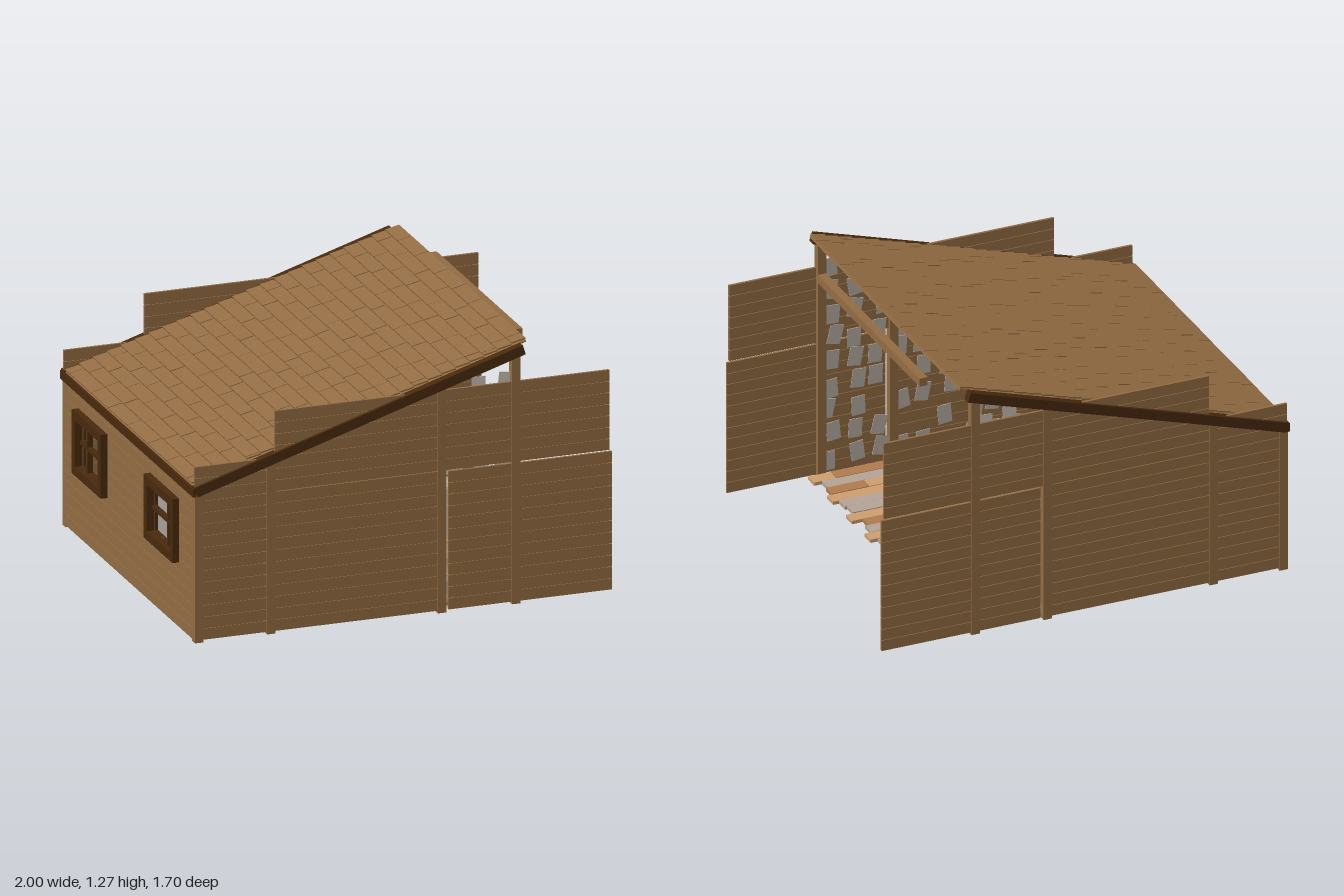
import * as THREE from 'three';
import { mergeGeometries } from 'three/addons/utils/BufferGeometryUtils.js';

const mat = (name, color, side = THREE.FrontSide) => {
  const m = new THREE.MeshStandardMaterial({ color, side });
  m.name = name;
  return m;
};

let seed = 7;
const rand = () => (seed = (seed * 16807) % 2147483647) / 2147483647;
const jitter = (a) => (rand() - 0.5) * 2 * a;

// Box given by its minimum and maximum corners
const span = (x0, x1, y0, y1, z0, z1) =>
  new THREE.BoxGeometry(x1 - x0, y1 - y0, z1 - z0).translate((x0 + x1) / 2, (y0 + y1) / 2, (z0 + z1) / 2);

const rectPath = (C, x0, x1, y0, y1) => {
  const p = new C();
  p.moveTo(x0, y0).lineTo(x1, y0).lineTo(x1, y1).lineTo(x0, y1).closePath();
  return p;
};

// Plate with rectangular holes in the zy plane, centred on x = 0
function plate(outer, holes, depth) {
  const s = rectPath(THREE.Shape, ...outer);
  holes.forEach((h) => s.holes.push(rectPath(THREE.Path, ...h)));
  return new THREE.ExtrudeGeometry(s, { depth, bevelEnabled: false })
    .translate(0, 0, -depth / 2).rotateY(-Math.PI / 2);
}

export function createModel() {
  const model = new THREE.Group();
  const wood = mat('brown wood', 0x956e44);
  const dark = mat('dark wood', 0x4a2a0d);
  const paperMat = mat('paper', 0xc4bab0);
  const stone = mat('grey stone', 0xa8a29c, THREE.DoubleSide);
  const doorMat = mat('pale door', 0xbcb2a8);
  const floorMats = [mat('tan floor', 0xd0a072), mat('brown floor', 0xb27d50), mat('pale grey floor', 0xb8a698)];

  const add = (name, m, geos, parent = model) => {
    const list = [].concat(geos).map((g) => (g.index ? g.toNonIndexed() : g));
    const mesh = new THREE.Mesh(mergeGeometries(list), m);
    mesh.name = name;
    parent.add(mesh);
  };

  const SLOPE = 0.302, COURSE = 0.054, GAP = 0.003;
  const roofY = (x) => 0.755 + (x + 0.97) * Math.tan(SLOPE);

  // Side walls: four plank panels a side, [x0, x1, y0, y1], over a thin core
  const panels = [[-0.967, -0.622, 0.05, 0.865], [-0.588, 0.988, 0.705, 1.083],
    [-0.612, 0.215, 0.05, 0.705], [0.23, 1, 0.05, 0.7]];
  for (const s of [1, -1]) {
    const planks = [], posts = [];
    for (const [x0, x1, y0, y1] of panels) {
      const n = Math.round((y1 - y0) / COURSE), h = (y1 - y0) / n;
      for (let i = 0; i < n; i++) {
        planks.push(span(x0, x1, y0 + i * h, y0 + (i + 1) * h - GAP, s * 0.83 - 0.006, s * 0.83 + 0.006));
      }
      planks.push(span(x0 + 0.02, x1 - 0.02, y0 + 0.01, y1 - 0.01, s * 0.83 - 0.002, s * 0.83 + 0.002));
    }
    for (const x of [-0.948, -0.608, 0.197, 0.547]) {
      posts.push(span(x - 0.02, x + 0.02, 0.04, roofY(x), s * 0.823 - 0.02, s * 0.823 + 0.02));
    }
    add('sideWallPlanks', wood, planks);
    add('wallPosts', wood, posts);
    // Sloping edge board of the roof
    const rake = new THREE.BoxGeometry(1.62, 0.046, 0.04).rotateZ(SLOPE).translate(-0.192, 0.988, s * 0.831);
    add('roofEdgeBoard', dark, rake);
  }

  // Back wall with two window openings
  const windows = [[0.31, 0.602, 0.393, 0.612], [-0.602, -0.31, 0.393, 0.612]];
  const backPlanks = [];
  for (let i = 0; i < 13; i++) {
    const y0 = 0.05 + i * COURSE, y1 = y0 + COURSE - GAP;
    const pierced = y1 > 0.37 && y0 < 0.63;
    const runs = pierced ? [[-0.81, -0.61], [-0.3, 0.3], [0.61, 0.81]] : [[-0.81, 0.81]];
    for (const [z0, z1] of runs) backPlanks.push(span(-0.968, -0.953, y0, y1, z0, z1));
  }
  backPlanks.push(plate([-0.8, 0.8, 0.06, 0.76], windows, 0.004).translate(-0.9605, 0, 0));
  add('backWallPlanks', wood, backPlanks);
  add('eaveBoard', dark, span(-0.978, -0.964, 0.725, 0.765, -0.845, 0.845));

  // Window frames with an off-centre upright and a crossbar
  windows.forEach((w, i) => {
    const outer = [w[0] - 0.038, w[1] + 0.038, w[2] - 0.04, w[3] + 0.04];
    const zBar = i ? -0.51 : 0.515;
    add('windowFrame', dark, [
      plate(outer, [w], 0.055).translate(-0.9725, 0, 0),
      span(-0.975, -0.95, w[2], w[3], zBar - 0.008, zBar + 0.008),
      span(-0.975, -0.95, 0.497, 0.513, w[0], w[1]),
    ]);
  });

  // Roof: boards under staggered, lapped shingles
  const roof = new THREE.Group();
  roof.name = 'roof';
  roof.position.set(-0.967, 0.765, 0);
  roof.rotation.z = SLOPE;
  model.add(roof);
  const ROWS = 24, pitch = 1.65 / ROWS, boards = [], shingles = [];
  for (let r = 0; r < ROWS; r++) {
    const x = r * pitch;
    boards.push(span(x, x + pitch - 0.003, -0.006, 0.002, -0.805, 0.805));
    let z = -0.805;
    let len = 0.06 + 0.2 * ((r * 0.37) % 1);
    while (z < 0.8) {
      const end = Math.min(z + len, 0.805);
      shingles.push(new THREE.BoxGeometry(pitch - 0.002, 0.007, Math.max(end - z - 0.005, 0.004))
        .rotateZ(-0.08).translate(x + pitch / 2, 0.01 + rand() * 0.002, (z + end) / 2));
      z = end;
      len = 0.2 + rand() * 0.08;
    }
  }
  add('roofBoards', wood, boards, roof);
  add('shingles', wood, shingles, roof);

  // Loose crossbeam beyond the open side
  add('crossbeam', wood, span(0.652, 0.692, 1.17, 1.21, -0.56, 0.53));

  // Floorboards, every third row reaching out past the roof
  const floor = [[], [], []];
  for (let r = 0; r < 24; r++) {
    const long = r % 3 === 2;
    const z = -0.82 + r * 0.0672, last = long ? 0.622 : 0.57 + rand() * 0.03;
    let x = -0.955, len = 0.1 + rand() * 0.3;
    while (x < last) {
      const end = last - x - len < 0.08 ? last : x + len;
      const lift = rand() * 0.004;
      const kind = long && end === last ? 0 : Math.floor(rand() * 3);
      floor[kind].push(span(x, end - 0.002, 0.05 + lift, 0.066 + lift, Math.max(z, -0.805) + 0.001, Math.min(z + 0.0662, 0.805)));
      x = end;
      len = 0.25 + rand() * 0.15;
    }
  }
  floor.forEach((g, i) => add('floorboards', floorMats[i], g));

  // Glazed door in the open side, two by three panes over two panels
  const panes = [];
  for (let c = 0; c < 2; c++) {
    for (let r = 0; r < 3; r++) {
      const z = -0.089 + c * 0.086, y = 0.28 + r * 0.08;
      panes.push([z, z + 0.078, y, y + 0.071]);
    }
  }
  add('door', doorMat, [
    plate([-0.118, 0.104, 0, 0.535], panes, 0.014).translate(0.555, 0, 0),
    ...[-0.083, 0.015].map((z) => span(0.545, 0.567, 0.07, 0.21, z, z + 0.058)),
  ]);

  // Hooded figure by the back wall
  const figure = new THREE.Group();
  figure.name = 'hoodedFigure';
  figure.position.set(-0.72, 0, -0.01);
  model.add(figure);
  const draped = (pts, folds, depth) => {
    const g = new THREE.LatheGeometry(pts.map((p) => new THREE.Vector2(...p)), 64);
    const p = g.attributes.position;
    for (let i = 0; i < p.count; i++) {
      const k = 1 + folds * Math.cos(14 * Math.atan2(p.getZ(i), p.getX(i)));
      p.setXYZ(i, p.getX(i) * k * depth, p.getY(i), p.getZ(i) * k);
    }
    g.computeVertexNormals();
    return g;
  };
  const ball = (rx, ry, rz, x, y, z) => new THREE.SphereGeometry(1, 24, 16).scale(rx, ry, rz).translate(x, y, z);
  add('robe', stone, draped([[0.21, 0.066], [0.155, 0.09], [0.135, 0.14], [0.13, 0.3], [0.14, 0.46], [0.1, 0.6]], 0.05, 0.7), figure);
  add('cape', stone, draped([[0.145, 0.43], [0.16, 0.47], [0.145, 0.54], [0.115, 0.61], [0.06, 0.65]], 0.02, 0.75), figure);
  add('hood', stone, draped([[0.1, 0.585], [0.095, 0.64], [0.08, 0.7], [0.045, 0.755], [0, 0.785]], 0, 0.9), figure);
  add('hoodRim', stone, new THREE.TorusGeometry(0.055, 0.013, 10, 32).scale(1, 1.25, 1).rotateY(Math.PI / 2).translate(0.075, 0.665, 0), figure);
  add('face', stone, ball(0.03, 0.055, 0.042, 0.06, 0.66, 0), figure);
  for (const s of [1, -1]) {
    const arm = new THREE.CatmullRomCurve3([[0.02, 0.56, 0.11], [0.07, 0.45, 0.11], [0.12, 0.42, 0.06], [0.13, 0.38, -0.03]]
      .map(([x, y, z]) => new THREE.Vector3(x, y, z * s)));
    add('sleeve', stone, new THREE.TubeGeometry(arm, 20, 0.032, 12), figure);
    add('hand', stone, ball(0.018, 0.03, 0.022, 0.145, 0.36, -s * 0.03), figure);
  }

  // Pinned papers, placed in hundredths
  const sheet = (w = 0.056, h = 0.09, turn = 0.2) => new THREE.BoxGeometry(w, h, 0.003).rotateZ(jitter(turn)).rotateX(-0.06);
  const backLeft = [69, 69, 54, 65, 39, 69, 30, 65, 24, 69, 12, 69, 45, 64, 75, 61, 68, 53, 74, 48, 23, 53, 16, 49, 31, 34,
    24, 37, 59, 38, 71, 37, 64, 28, 70, 25, 46, 24, 34, 26, 39, 17, 31, 16, 24, 22, 17, 29, 75, 10, 47, 10, 12, 20, 56, 27];
  const backRight = [20, 69, 29, 68, 35, 69, 41, 65, 48, 70, 54, 67, 64, 69, 74, 68, 22, 56, 25, 48, 66, 51, 75, 56, 72, 40, 38, 33,
    47, 32, 55, 33, 25, 33, 34, 31, 34, 20, 22, 18, 44, 23, 53, 23, 62, 18, 72, 29, 21, 10, 36, 10, 46, 10, 53, 10, 74, 15, 77, 17];
  const hung = [52, 112, 40, 111, 40, 103, 54, 96, 44, 95, 34, 96, 25, 102, 19, 104, 15, 112, 10, 109, 14, 95, -4, 111, -9, 106,
    -4, 96, -25, 100, -22, 112, -33, 111, -45, 111, -48, 101, -44, 96, -18, 95, 44, 79, 65, 102];
  const papers = [];
  const pin = (list, sign, xAt) => {
    for (let i = 0; i < list.length; i += 2) {
      const y = list[i + 1] / 100;
      papers.push(sheet().rotateY(Math.PI / 2).translate(xAt(y), y, (sign * list[i]) / 100));
    }
  };
  pin(backLeft, 1, () => -0.938);
  pin(backRight, -1, () => -0.938);
  pin(hung, 1, (y) => -0.97 + (y + 0.06 - 0.755) / Math.tan(SLOPE));
  papers.push(sheet(0.16, 0.12, 0.03).rotateY(Math.PI / 2).translate(0.2, 1.06, 0.715));
  for (const s of [1, -1]) {
    for (let x = -0.88; x < 0.52; x += 0.115) {
      for (let y = 0.12; y < roofY(x) - 0.07; y += 0.12) {
        if (rand() < 0.1) continue;
        const g = sheet(0.066, 0.095);
        if (s < 0) g.rotateX(0.12);
        papers.push(g.translate(x + jitter(0.025), y + jitter(0.02), s * 0.815));
      }
    }
  }
  add('papers', paperMat, papers);

  return model;
}
